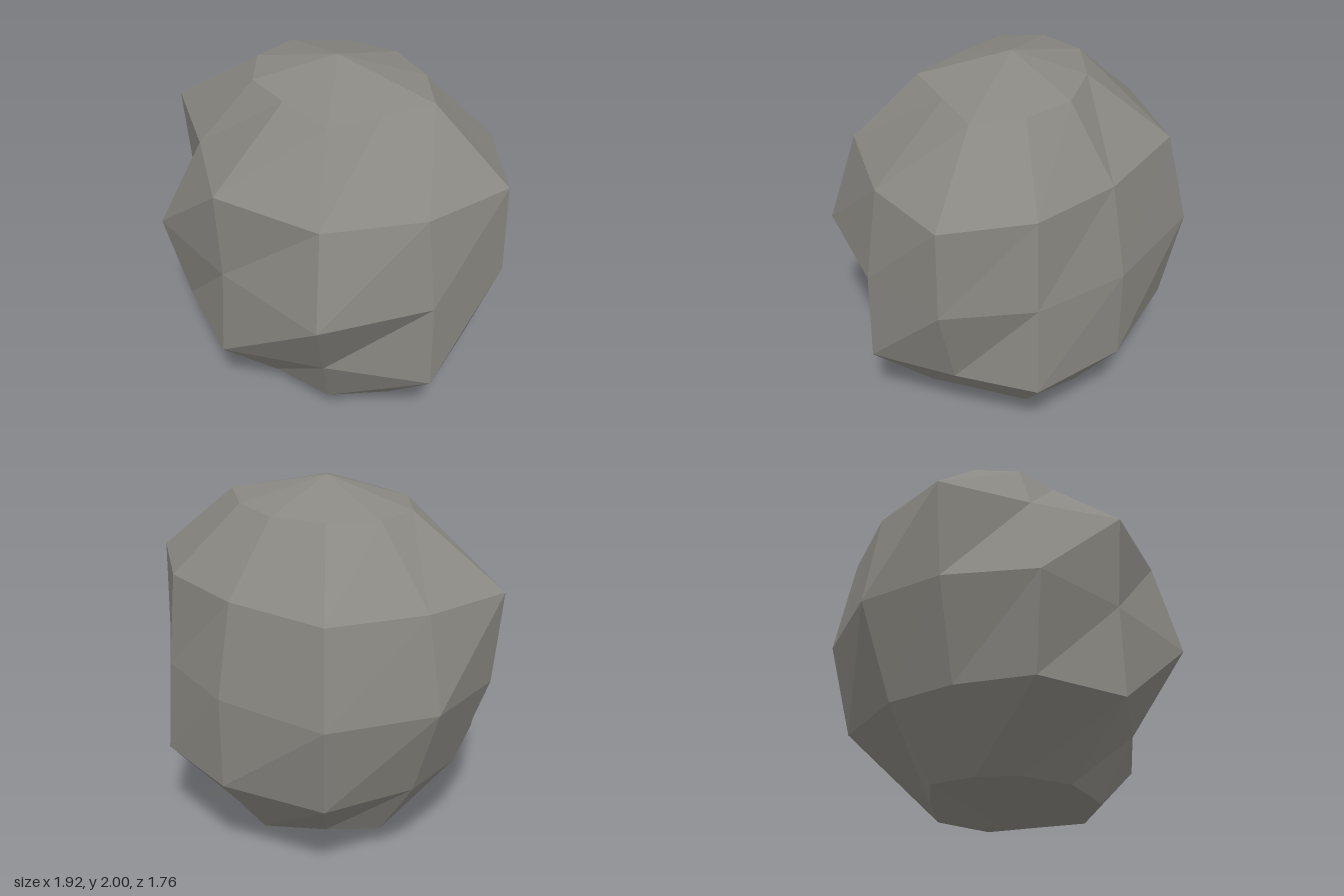
import * as THREE from 'three';

const SIDES = 10;
const DEPTH = 0.82; // the boulder is shallower front to back

// Height of each ring, and how far each corner bulges from a unit sphere
const RINGS = [
  { y: 1.866, bulge: [1.08, 0.89, 1.12, 0.84, 0.90, 0.93, 0.95, 0.91, 0.95, 0.95] },
  { y: 1.5, bulge: [1.10, 1.025, 1.12, 1.10, 0.87, 1.11, 1.01, 1.13, 0.95, 0.98] },
  { y: 1.0, bulge: [0.955, 0.967, 1.15, 0.92, 1.0, 0.91, 0.98, 1.11, 0.93, 0.89] },
  { y: 0.5, bulge: [0.90, 1.12, 0.92, 1.10, 1.0, 0.84, 0.90, 1.13, 1.06, 1.06] },
  { y: 0.134, bulge: [0.90, 1.16, 1.18, 1.05, 0.91, 0.86, 1.0, 0.92, 1.15, 1.08] },
];

function corner(ring, k) {
  const i = k % SIDES;
  const angle = (i / SIDES) * Math.PI * 2;
  const radius = Math.sqrt(1 - (ring.y - 1) ** 2) * ring.bulge[i];
  return [Math.cos(angle) * radius, ring.y, Math.sin(angle) * radius * DEPTH - 0.007];
}

function boulderGeometry() {
  const points = [];
  const triangle = (a, b, c) => points.push(...a, ...b, ...c);
  const top = [0, 2, -0.007];
  const bottom = [0, 0, -0.007];
  const last = RINGS.length - 1;

  for (let k = 0; k < SIDES; k++) {
    // Top cap
    triangle(top, corner(RINGS[0], k + 1), corner(RINGS[0], k));
    // Bands between rings
    for (let r = 0; r < last; r++) {
      const upper = corner(RINGS[r], k);
      const lowerNext = corner(RINGS[r + 1], k + 1);
      triangle(upper, corner(RINGS[r], k + 1), lowerNext);
      triangle(upper, lowerNext, corner(RINGS[r + 1], k));
    }
    // Bottom cap
    triangle(corner(RINGS[last], k), corner(RINGS[last], k + 1), bottom);
  }

  const geometry = new THREE.BufferGeometry();
  geometry.setAttribute('position', new THREE.Float32BufferAttribute(points, 3));
  geometry.computeVertexNormals(); // unshared corners give flat facets
  return geometry;
}

export function createModel() {
  const stone = new THREE.MeshStandardMaterial({ color: 0x8a8882, flatShading: true });
  stone.name = 'stone grey';

  const boulder = new THREE.Mesh(boulderGeometry(), stone);
  boulder.name = 'boulder';

  const model = new THREE.Group();
  model.name = 'rock';
  model.add(boulder);
  return model;
}
